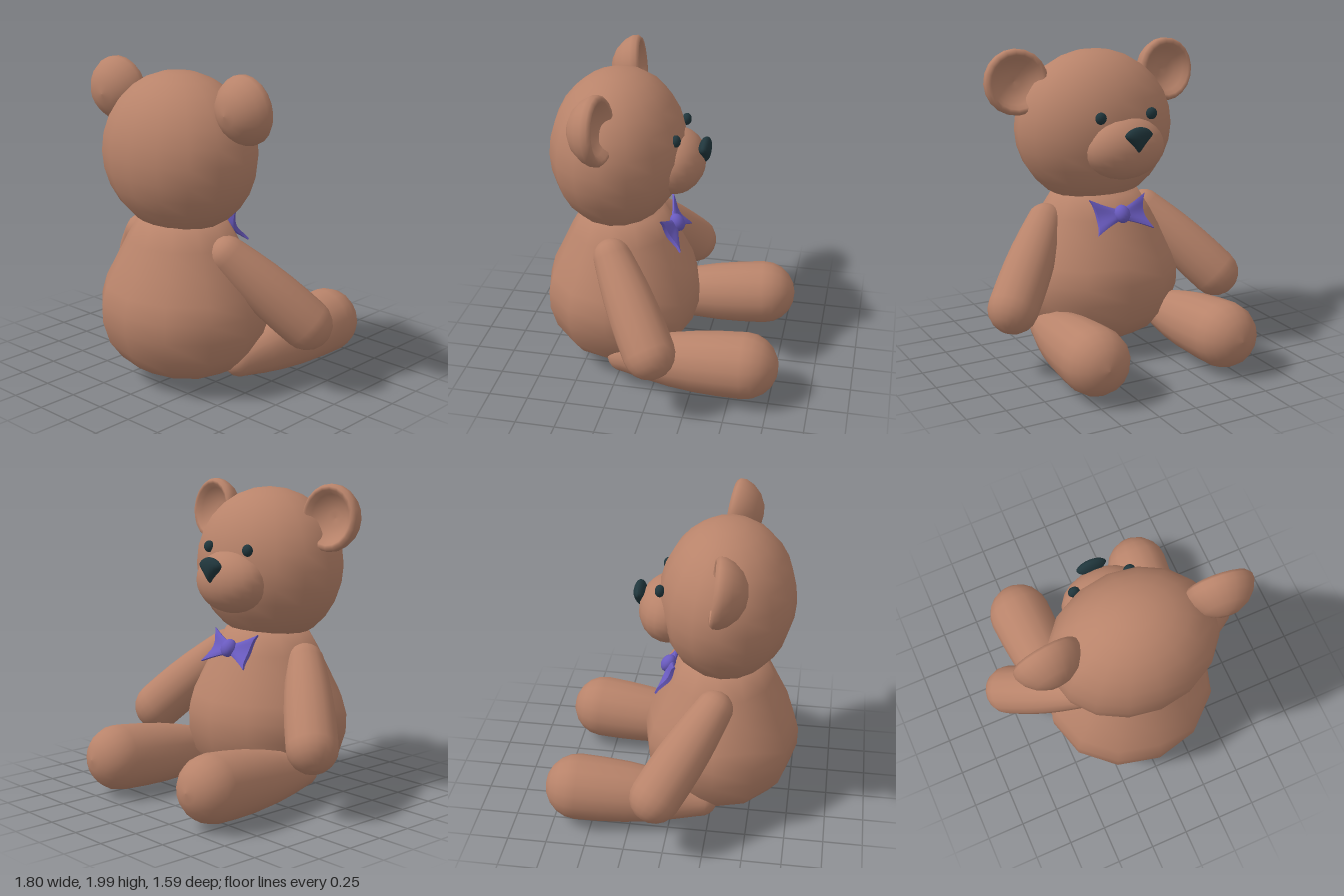
import * as THREE from 'three';

const fur = new THREE.MeshStandardMaterial({ color: 0xb8836a });
const dark = new THREE.MeshStandardMaterial({ color: 0x20363c });
const purple = new THREE.MeshStandardMaterial({ color: 0x6a5bc0 });

const V = (x, y, z) => new THREE.Vector3(x, y, z);

export function createModel() {
  const bear = new THREE.Group();
  bear.name = 'teddyBear';

  const add = (name, geometry, material, x = 0, y = 0, z = 0) => {
    const mesh = new THREE.Mesh(geometry, material);
    mesh.name = name;
    mesh.position.set(x, y, z);
    bear.add(mesh);
    return mesh;
  };
  const lathe = (pairs, segments) =>
    new THREE.LatheGeometry(pairs.map(([r, y]) => new THREE.Vector2(r, y)), segments);
  const ball = (name, material, [x, y, z], [rx, ry, rz], w = 16, h = 12) => {
    const g = new THREE.SphereGeometry(1, w, h);
    g.scale(rx, ry, rz);
    return add(name, g, material, x, y, z);
  };

  // A tapered limb with round ends, running from centre a to centre b
  const limb = (name, a, b, ra, rb, bulge) => {
    const length = a.distanceTo(b);
    const pts = [];
    for (let i = 0; i <= 5; i++) {
      const t = (i / 5) * Math.PI / 2;
      pts.push([ra * Math.sin(t), -ra * Math.cos(t)]);
    }
    for (let i = 1; i < 5; i++) {
      const t = i / 5;
      pts.push([ra + (rb - ra) * t + bulge * Math.sin(Math.PI * t), length * t]);
    }
    for (let i = 0; i <= 5; i++) {
      const t = (i / 5) * Math.PI / 2;
      pts.push([rb * Math.cos(t), length + rb * Math.sin(t)]);
    }
    const mesh = add(name, lathe(pts, 16), fur, a.x, a.y, a.z);
    mesh.quaternion.setFromUnitVectors(V(0, 1, 0), b.clone().sub(a).normalize());
  };

  // Pear-shaped body
  const body = lathe([
    [0, 0.01], [0.16, 0.03], [0.31, 0.09], [0.43, 0.16], [0.51, 0.26], [0.555, 0.4],
    [0.558, 0.52], [0.525, 0.63], [0.45, 0.77], [0.37, 0.92], [0.29, 1.05], [0, 1.15],
  ], 12);
  body.scale(1, 1, 0.9);
  add('body', body, fur, 0, 0, 0.285);

  // Head and muzzle
  ball('head', fur, [0, 1.47, 0.305], [0.53, 0.5, 0.425], 16, 14);
  ball('muzzle', fur, [-0.035, 1.39, -0.05], [0.27, 0.2, 0.19], 20, 14);

  // Eyes
  for (const x of [-0.212, 0.146]) ball('eye', dark, [x, 1.598, -0.085], [0.037, 0.038, 0.03]);

  // Nose: a rounded bar narrowing to a point at the bottom
  const nose = new THREE.SphereGeometry(1, 20, 16);
  const np = nose.attributes.position;
  for (let i = 0; i < np.count; i++) {
    const y = np.getY(i);
    const k = y < 0.35 ? 0.22 + 0.78 * Math.pow((y + 1) / 1.35, 1.8) : 1;
    np.setXYZ(i, np.getX(i) * 0.105 * k, y * 0.082, np.getZ(i) * 0.042 - y * 0.006);
  }
  nose.computeVertexNormals();
  add('nose', nose, dark, -0.038, 1.473, -0.232);

  // Cupped ears, open towards the face
  const earProfile = [
    [0, 0], [0.07, 0.01], [0.135, 0.045], [0.185, 0.1], [0.208, 0.15], [0.207, 0.185],
    [0.19, 0.205], [0.17, 0.2], [0.145, 0.17], [0.1, 0.135], [0.05, 0.12], [0, 0.115],
  ];

  for (const s of [1, -1]) {
    const side = s > 0 ? 'left' : 'right';
    const ear = add(side + 'Ear', lathe(earProfile, 20), fur, s * 0.52, 1.78, 0.47);
    ear.rotation.set(-Math.PI / 2 + 0.1, -s * 0.1, 0, 'YXZ');
    limb(side + 'Arm', V(s * 0.37, 0.88, 0.27), V(s * 0.74, 0.45, -0.04), 0.12, 0.162, 0.015);
    limb(side + 'Leg', V(s * 0.41, 0.19, 0.2), V(s * 0.455, 0.247, -0.59), 0.105, 0.212, 0.028);
  }

  // Bow tie: two flared wings and a round knot
  const bow = new THREE.Group();
  bow.name = 'bowTie';
  bow.position.set(-0.015, 0.952, -0.048);
  bow.rotation.x = 0.55;
  for (const s of [1, -1]) {
    const wing = new THREE.BoxGeometry(1, 2, 2, 8, 8, 1);
    const p = wing.attributes.position;
    for (let i = 0; i < p.count; i++) {
      const t = p.getX(i) + 0.5, y = p.getY(i), z = p.getZ(i);
      const half = 0.035 + 0.085 * Math.pow(t, 1.3);
      const thick = 0.006 + 0.018 * (1 - y * y) * (1 - 0.6 * t);
      const fold = 0.012 * Math.cos(y * Math.PI) * t;
      p.setXYZ(i, 0.2 * t - 0.035 * t * (1 - y * y), y * half, z * thick + fold);
    }
    wing.computeVertexNormals();
    const mesh = new THREE.Mesh(wing, purple);
    mesh.name = s > 0 ? 'leftBowWing' : 'rightBowWing';
    if (s < 0) mesh.rotation.z = Math.PI;
    bow.add(mesh);
  }
  const knot = new THREE.Mesh(new THREE.SphereGeometry(1, 16, 12), purple);
  knot.name = 'bowKnot';
  knot.scale.set(0.052, 0.06, 0.045);
  knot.position.z = -0.02;
  bow.add(knot);
  bear.add(bow);

  return bear;
}
